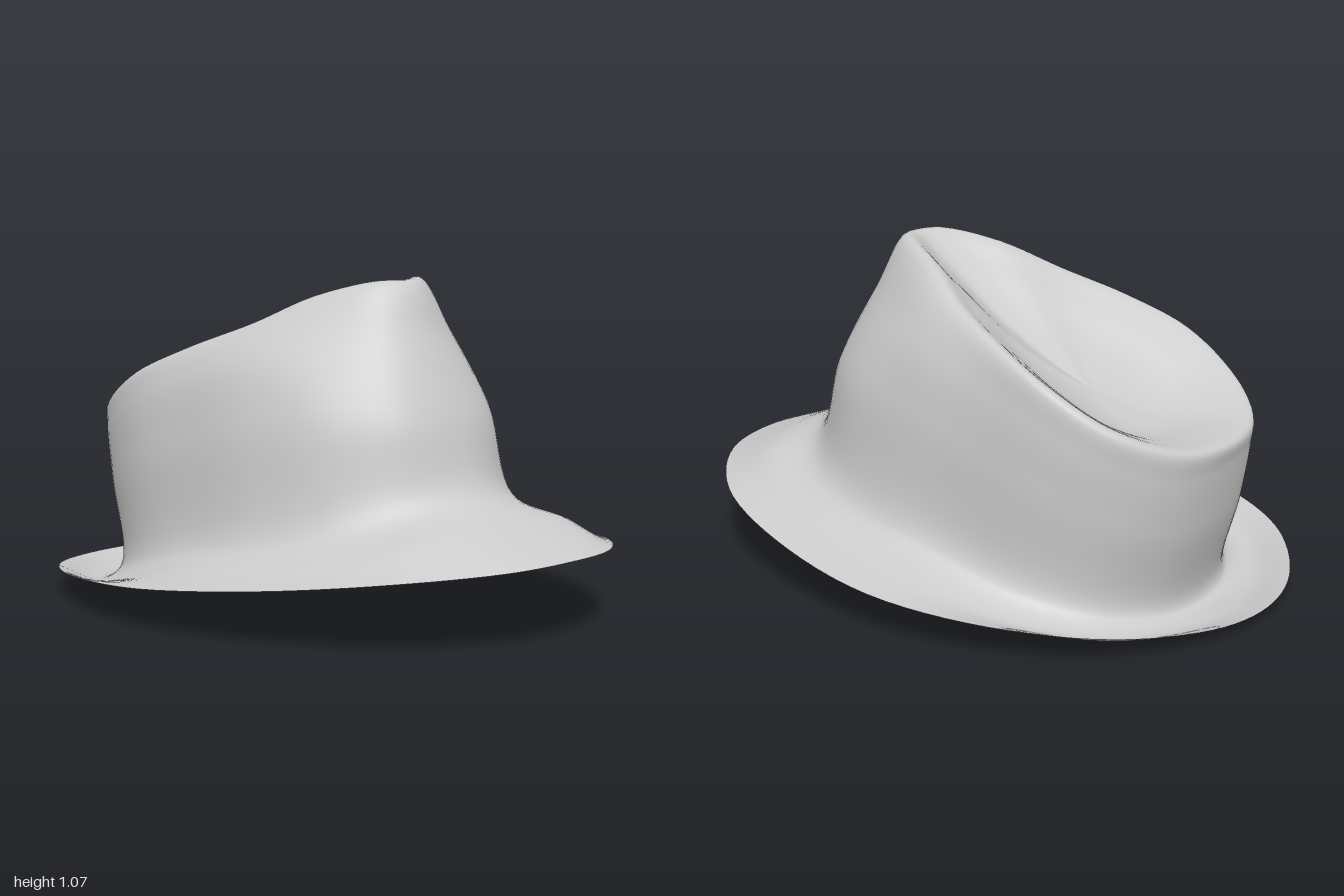
import * as THREE from 'three';

const AROUND = 96;

// Half outlines [x, y, z], running from the front of the hat (+x) to its back (-x)
const brimEdge = [[1, .257, 0], [.955, .25, .24], [.74, .225, .51], [.39, .18, .69], [-.05, .135, .79],
  [-.45, .105, .73], [-.76, .075, .545], [-.95, .045, .26], [-1, .035, 0]];
const brimMiddle = [[.79, .335, 0], [.74, .315, .3], [.56, .25, .49], [.28, .205, .6], [-.08, .16, .64],
  [-.42, .075, .6], [-.68, .02, .45], [-.83, 0, .2], [-.87, .005, 0]];
const crownBase = [[.63, .42, 0], [.58, .385, .22], [.42, .325, .4], [.16, .27, .5], [-.1, .215, .525],
  [-.4, .13, .505], [-.61, .07, .4], [-.74, .03, .2], [-.77, .015, 0]];
const crownMiddle = [[.545, .65, 0], [.5, .65, .2], [.33, .65, .36], [.08, .62, .45], [-.15, .56, .485],
  [-.44, .46, .49], [-.65, .36, .4], [-.785, .3, .22], [-.82, .29, 0]];
const crownShoulder = [[.43, .89, 0], [.385, .89, .15], [.22, .87, .29], [.02, .82, .4], [-.2, .75, .455],
  [-.455, .66, .48], [-.66, .55, .41], [-.805, .48, .24], [-.845, .47, 0]];
const crownRidge = [[.34, 1.06, 0], [.29, 1.065, .1], [.13, 1.025, .21], [-.04, .945, .315], [-.24, .87, .405],
  [-.45, .78, .455], [-.66, .655, .4], [-.805, .57, .24], [-.85, .54, 0]];

// Mirrors a half outline across z = 0 and samples it as a smooth closed loop;
// lean lowers the +z side in proportion to z
function loop(half, lean = 0) {
  const near = half.map(([x, y, z]) => [x, y - lean * z, z]);
  const far = half.slice(1, -1).reverse().map(([x, y, z]) => [x, y, -z]);
  const points = [...near, ...far].map(p => new THREE.Vector3(...p));
  const curve = new THREE.CatmullRomCurve3(points, true);
  return Array.from({ length: AROUND }, (_, i) => curve.getPoint(i / AROUND));
}

// Shrinks a loop towards a point; sink lowers the result below the straight line
function shrink(ring, target, amount, sink) {
  return ring.map(p => {
    const q = p.clone().lerp(target, amount);
    q.y -= sink;
    return q;
  });
}

// Smooth surface through the loops, listed from the outside inwards
function loft(name, rings, steps) {
  const positions = [], index = [];
  const columns = Array.from({ length: AROUND }, (_, i) =>
    new THREE.CatmullRomCurve3(rings.map(r => r[i])));
  for (let j = 0; j <= steps; j++) {
    for (let i = 0; i < AROUND; i++) {
      const p = columns[i].getPoint(j / steps);
      positions.push(p.x, p.y, p.z);
      if (j === steps) continue;
      const a = j * AROUND + i, b = j * AROUND + (i + 1) % AROUND;
      index.push(a, a + AROUND, b, b, a + AROUND, b + AROUND);
    }
  }
  const geometry = new THREE.BufferGeometry();
  geometry.setAttribute('position', new THREE.Float32BufferAttribute(positions, 3));
  geometry.setIndex(index);
  geometry.computeVertexNormals();
  const material = new THREE.MeshStandardMaterial({ color: 0xcccccc, side: THREE.DoubleSide });
  const mesh = new THREE.Mesh(geometry, material);
  mesh.name = name;
  return mesh;
}

export function createModel() {
  const hat = new THREE.Group();
  hat.name = 'hat';
  const ridge = loop(crownRidge, .08);
  const dent = new THREE.Vector3(-.36, .627, 0);

  // One felt shell: brim, crown wall, teardrop ridge and the bowl pressed into the top
  hat.add(loft('brimAndCrown', [
    loop(brimEdge), loop(brimMiddle), loop(crownBase),
    loop(crownMiddle), loop(crownShoulder), ridge,
    shrink(ridge, dent, .2, .005),
    shrink(ridge, dent, .5, .035),
    shrink(ridge, dent, .8, .025),
    shrink(ridge, dent, .999, 0),
  ], 72));
  return hat;
}
